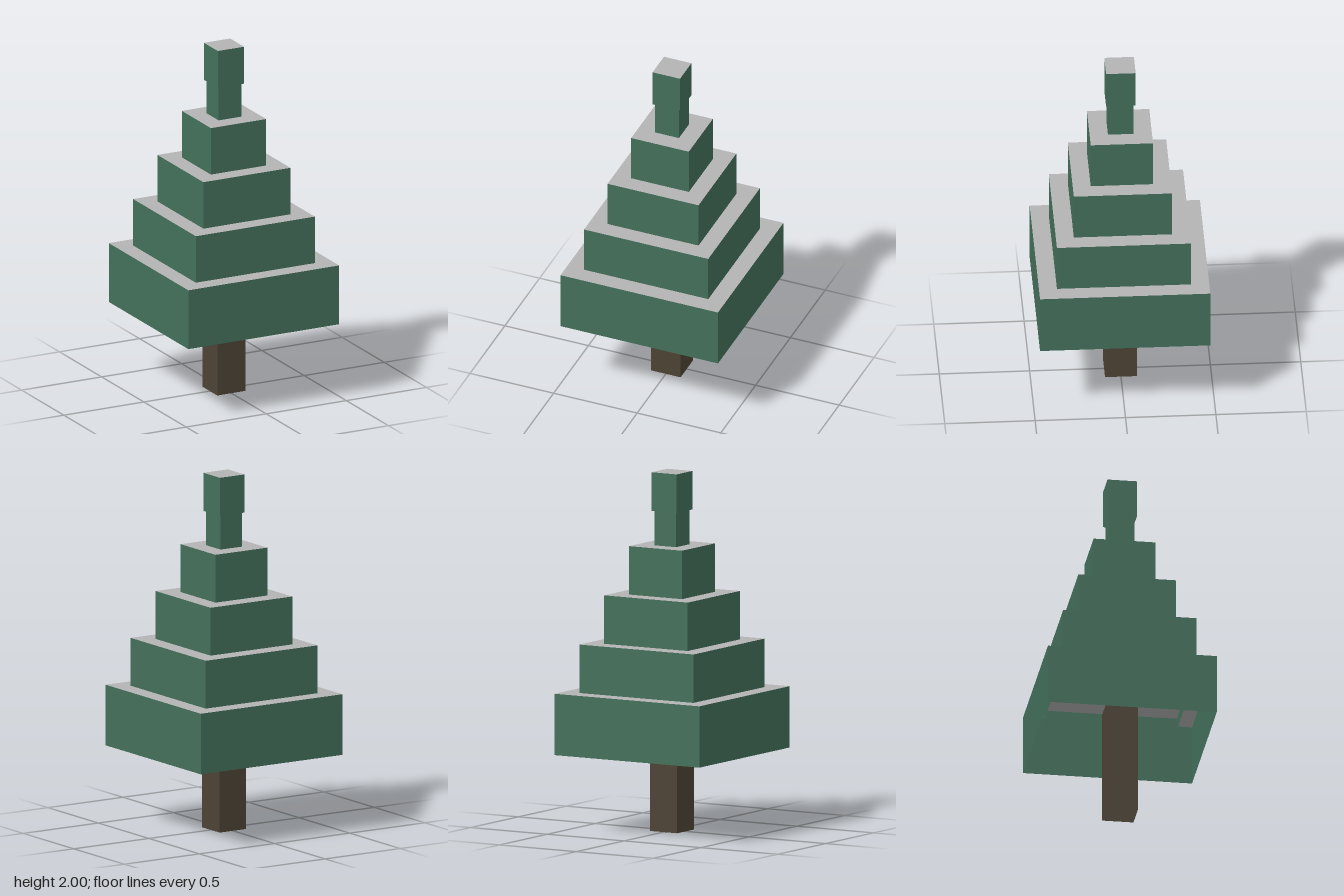
import * as THREE from 'three';

const green = new THREE.MeshStandardMaterial({ color: 0x44705b, side: THREE.DoubleSide });
green.name = 'foliage green';
const brown = new THREE.MeshStandardMaterial({ color: 0x4d4335, side: THREE.DoubleSide });
brown.name = 'bark brown';
const grey = new THREE.MeshStandardMaterial({ color: 0xb4b4b4, side: THREE.DoubleSide });
grey.name = 'top grey';

// Four upright walls, open above and below
function walls(name, half, y0, y1, material) {
  const geometry = new THREE.CylinderGeometry(half * Math.SQRT2, half * Math.SQRT2, y1 - y0, 4, 1, true)
    .rotateY(Math.PI / 4)
    .translate(0, (y0 + y1) / 2, 0)
    .toNonIndexed();
  geometry.computeVertexNormals();
  const mesh = new THREE.Mesh(geometry, material);
  mesh.name = name;
  return mesh;
}

// Flat square lid facing up
function lid(name, half, y) {
  const geometry = new THREE.PlaneGeometry(half * 2, half * 2).rotateX(-Math.PI / 2).translate(0, y, 0);
  const mesh = new THREE.Mesh(geometry, grey);
  mesh.name = name;
  return mesh;
}

// Hollow foliage block: walls and lid, open underneath
function block(name, half, y0, y1) {
  const group = new THREE.Group();
  group.name = name;
  group.add(walls(name + 'Walls', half, y0, y1, green), lid(name + 'Lid', half, y1));
  return group;
}

export function createModel() {
  const tree = new THREE.Group();
  tree.name = 'tree';

  tree.add(walls('trunk', 0.088, 0, 0.64, brown));

  // Four shrinking tiers, each reaching a little way down into the one below
  for (let i = 0; i < 4; i++) {
    const base = 0.44 + i * 0.27;
    tree.add(block('tier' + (i + 1), 0.471 - i * 0.0995, base, base + 0.342));
  }

  // Narrow stem and the block on the tip
  tree.add(walls('stem', 0.071, 1.54, 1.84, green));
  tree.add(block('tip', 0.082, 1.785, 2));

  return tree;
}
